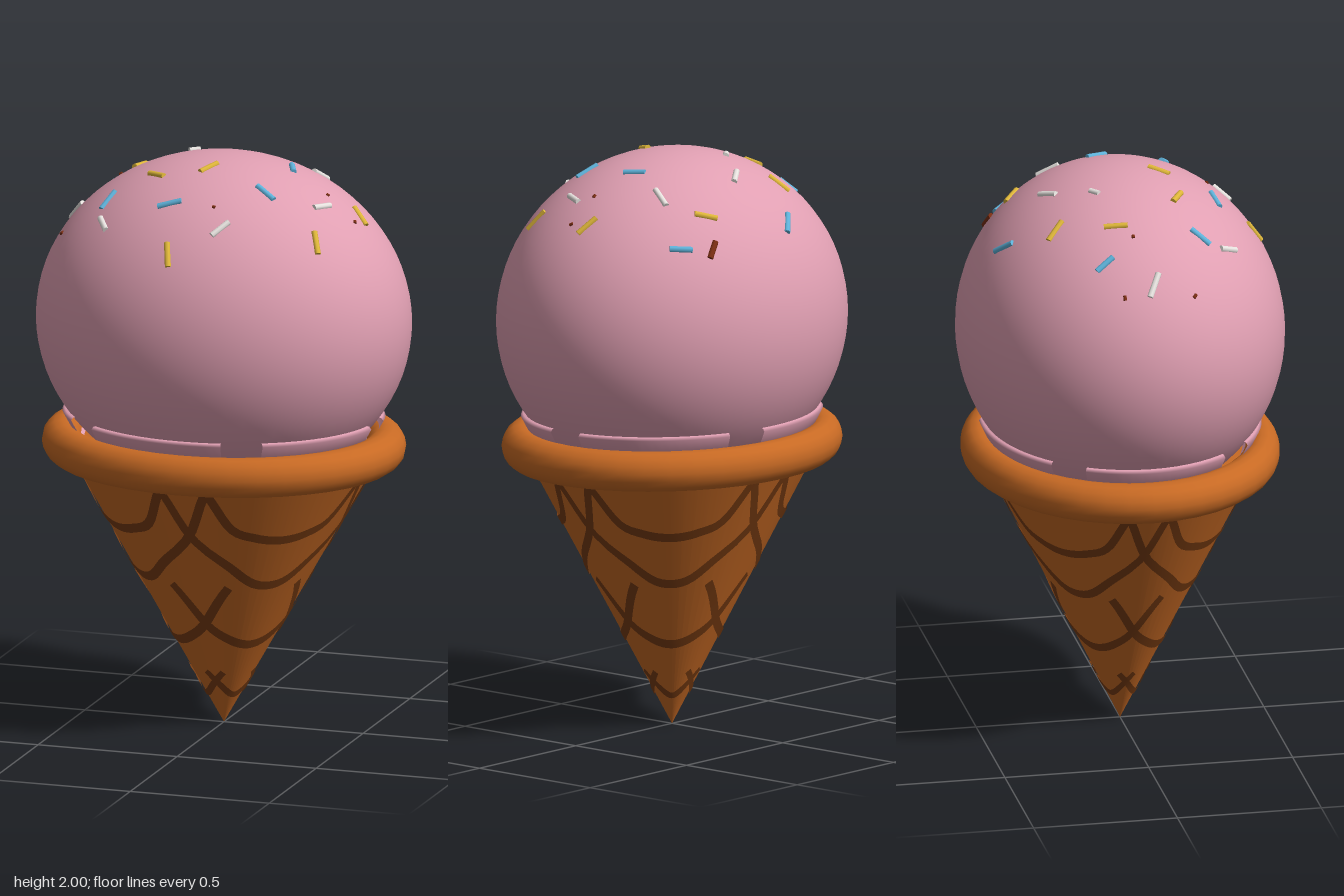
import * as THREE from 'three';

const DEPTH = 0.86; // the whole model is narrower front to back
const SCOOP = { r: 0.65, h: 0.58, y: 1.42 };
const SLOPE = 0.565; // cone radius per unit of height

function material(name, color, side = THREE.FrontSide) {
  const m = new THREE.MeshStandardMaterial({ color, side });
  m.name = name;
  return m;
}

// Thin ribbon lying on the cone, along points of [degrees, height]
function ribbonOnCone(points, width) {
  const curve = new THREE.CatmullRomCurve3(points.map(([a, y]) => new THREE.Vector3(a * Math.PI / 180, y, 0)));
  const steps = 28, pos = [], idx = [];
  for (let i = 0; i <= steps; i++) {
    const p = curve.getPoint(i / steps), t = curve.getTangent(i / steps);
    const r = p.y * SLOPE;
    const dir = new THREE.Vector2(t.x * r, t.y).normalize();
    for (const s of [-1, 1]) {
      const a = p.x - s * dir.y * width / 2 / r;
      const y = p.y + s * dir.x * width / 2;
      const rad = y * SLOPE + 0.006;
      pos.push(Math.sin(a) * rad, y, Math.cos(a) * rad);
    }
    if (i < steps) {
      const k = i * 2;
      idx.push(k, k + 2, k + 1, k + 1, k + 2, k + 3);
    }
  }
  const g = new THREE.BufferGeometry();
  g.setAttribute('position', new THREE.Float32BufferAttribute(pos, 3));
  g.setIndex(idx);
  g.computeVertexNormals();
  return g;
}

// Point on the upper half of the scoop above a given x and z
function onScoop(x, z) {
  const d = (x / SCOOP.r) ** 2 + (z / (SCOOP.r * DEPTH)) ** 2;
  return new THREE.Vector3(x, SCOOP.y + SCOOP.h * Math.sqrt(Math.max(0, 1 - d)), z);
}

export function createModel() {
  const model = new THREE.Group();
  model.name = 'iceCreamCone';
  const body = new THREE.Group();
  body.name = 'coneAndScoop';
  body.scale.z = DEPTH;
  model.add(body);

  const waffle = material('waffle', 0xc86a24);
  const groove = material('waffleGroove', 0x7a3d12, THREE.DoubleSide);
  const iceCream = material('iceCream', 0xe09fb2, THREE.DoubleSide);
  const colours = {
    blue: material('blueSprinkle', 0x5fb4dc),
    yellow: material('yellowSprinkle', 0xe0b83a),
    white: material('whiteSprinkle', 0xf0ece8),
    brown: material('brownSprinkle', 0x7a2e12),
  };
  const add = (parent, name, geometry, mat) => {
    const mesh = new THREE.Mesh(geometry, mat);
    mesh.name = name;
    parent.add(mesh);
    return mesh;
  };

  // Cone with its tip on the ground
  const cone = new THREE.ConeGeometry(SLOPE, 1, 64).rotateX(Math.PI).translate(0, 0.5, 0);
  add(body, 'cone', cone, waffle);

  // Rolled rim
  const rim = new THREE.TorusGeometry(0.56, 0.07, 16, 40).rotateX(Math.PI / 2).translate(0, 0.985, 0);
  add(body, 'rim', rim, waffle);

  // Waffle pattern: rows of scallops, repeated in each quarter
  const rows = [
    [[-36, 0.92], [-26, 0.78], [-14, 0.74], [0, 0.725]],
    [[-54, 0.92], [-45, 0.745], [-25, 0.62], [-12, 0.56], [0, 0.545]],
    [[-64, 0.54], [-45, 0.395], [-25, 0.335], [0, 0.31]],
    [[-60, 0.2], [-45, 0.165], [-22, 0.125], [0, 0.11]],
  ];
  rows.forEach((half, row) => {
    const mirrored = half.slice(0, -1).reverse().map(([a, y]) => [-a, y]);
    const geometry = ribbonOnCone([...half, ...mirrored], row === 3 ? 0.022 : 0.032);
    for (let q = 0; q < 4; q++) {
      add(body, 'waffleGroove', geometry, groove).rotation.y = (q + 0.5) * Math.PI / 2;
    }
  });

  // Scoop
  const scoop = add(body, 'scoop', new THREE.SphereGeometry(1, 64, 40), iceCream);
  scoop.scale.set(SCOOP.r, SCOOP.h, SCOOP.r);
  scoop.position.y = SCOOP.y;

  // Low lobes around the foot of the scoop
  const lobe = [[0.5, 1.105], [0.55, 1.1], [0.558, 1.09], [0.53, 1.04], [0.47, 0.99]]
    .map(([r, y]) => new THREE.Vector2(r, y)).reverse();
  for (const [from, to] of [[-39, 15], [30, 82], [97, 158], [173, 228], [243, 305]]) {
    const rad = THREE.MathUtils.degToRad;
    add(body, 'scoopLobe', new THREE.LatheGeometry(lobe, 16, rad(from), rad(to - from)), iceCream);
  }

  // Sprinkles, each from one x, z to another across the scoop
  const sprinkles = {
    blue: [[-0.14, -0.4, -0.08, -0.45], [0.32, -0.37, 0.38, -0.32], [-0.45, -0.17, -0.43, -0.11],
      [0.22, -0.07, 0.25, 0], [-0.36, 0.24, -0.33, 0.18], [0.18, 0.18, 0.25, 0.21], [-0.13, 0.32, -0.05, 0.305]],
    yellow: [[0.18, -0.36, 0.24, -0.31], [-0.26, -0.3, -0.22, -0.245], [-0.32, -0.12, -0.335, -0.04],
      [0.45, -0.05, 0.505, -0.015], [-0.22, 0.14, -0.155, 0.18], [-0.03, 0.165, 0.01, 0.1],
      [0.4, 0.225, 0.43, 0.275], [-0.06, 0.43, -0.04, 0.48]],
    white: [[-0.065, -0.235, 0, -0.28], [-0.16, -0.105, -0.13, -0.13], [0.295, -0.23, 0.27, -0.16],
      [-0.55, -0.005, -0.495, 0.035], [0.37, 0.14, 0.405, 0.07], [-0.35, 0.28, -0.31, 0.34], [0.09, 0.4, 0.135, 0.35]],
    brown: [[0.235, -0.4, 0.28, -0.415], [-0.545, -0.09, -0.535, -0.09], [-0.385, -0.03, -0.375, -0.03],
      [0.375, 0.02, 0.385, 0.02], [0.48, 0.03, 0.485, 0.04], [-0.535, 0.15, -0.525, 0.16], [0.065, 0.315, 0.075, 0.315]],
  };
  const up = new THREE.Vector3(0, 1, 0);
  for (const [colour, list] of Object.entries(sprinkles)) {
    for (const [x1, z1, x2, z2] of list) {
      const a = onScoop(x1, z1), b = onScoop(x2, z2);
      const along = b.clone().sub(a);
      const thick = along.length() < 0.03 ? 0.006 : 0.011;
      const mesh = add(model, colour + 'Sprinkle', new THREE.CylinderGeometry(thick, thick, along.length(), 8), colours[colour]);
      mesh.position.copy(a).add(b).multiplyScalar(0.5);
      mesh.quaternion.setFromUnitVectors(up, along.normalize());
    }
  }
  return model;
}
